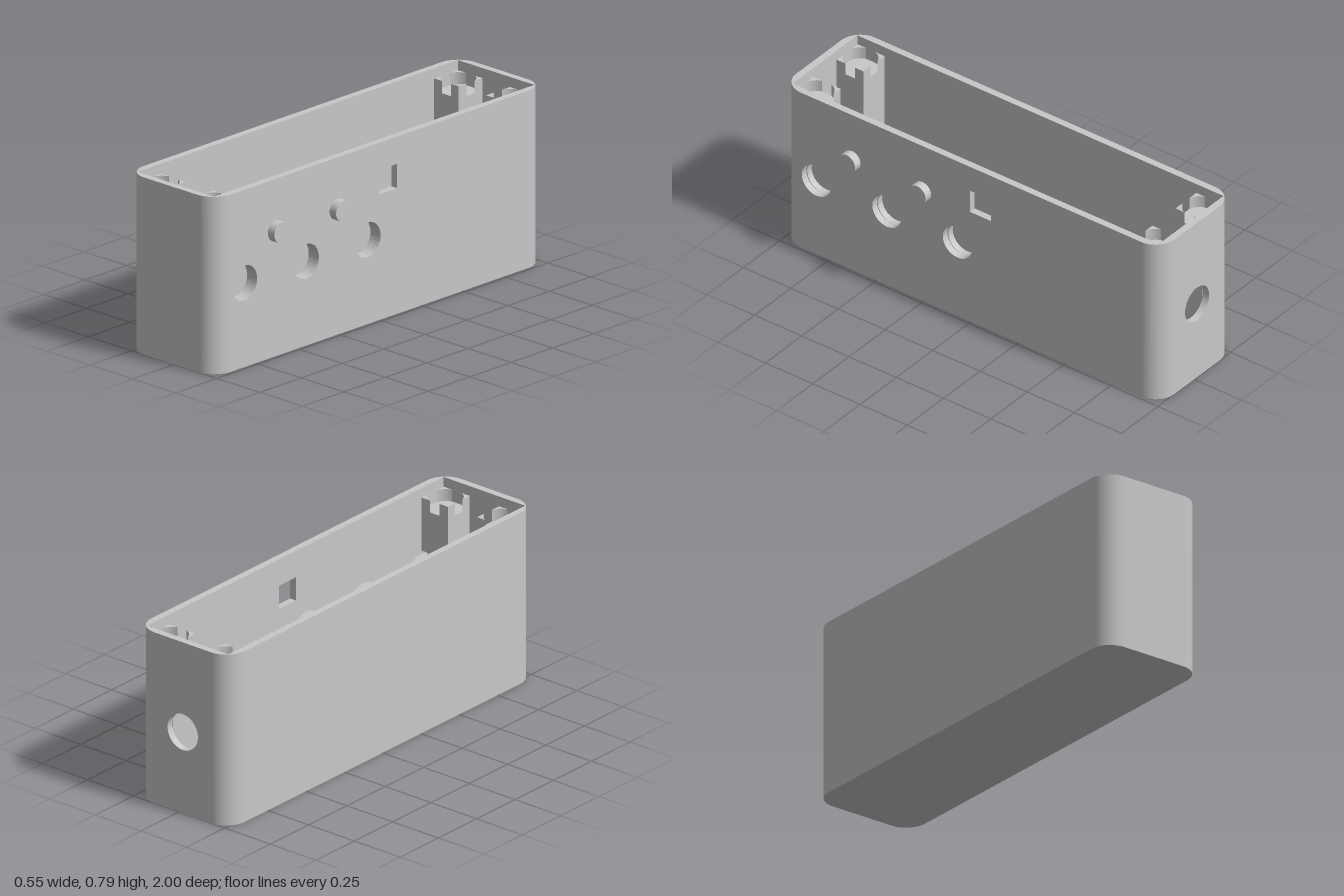
import * as THREE from 'three';
import { toCreasedNormals } from 'three/addons/utils/BufferGeometryUtils.js';

const X0 = -0.275, X1 = 0.235, CX = -0.02, H = 0.79; // outer shell limits
const T = 0.032, R = 0.1;                            // wall thickness, corner radius
const IX0 = X0 + T, IX1 = X1 - T, IZ = 1 - T;        // inner limits

export function createModel() {
  const model = new THREE.Group();
  const grey = new THREE.MeshStandardMaterial({ color: 0xc8c8c8 });
  grey.name = 'grey plastic';

  const add = (name, geo, x = 0, y = 0, z = 0, parent = model) => {
    const mesh = new THREE.Mesh(geo, grey);
    mesh.name = name;
    mesh.position.set(x, y, z);
    parent.add(mesh);
    return mesh;
  };
  const extrude = (shape, depth) => toCreasedNormals(
    new THREE.ExtrudeGeometry(shape, { depth, bevelEnabled: false, curveSegments: 32 }), 0.6);
  const upright = (shape, h) => extrude(shape, h).rotateX(-Math.PI / 2);     // shape lies flat, grows up
  const sideways = (shape, d) => extrude(shape, d).rotateY(-Math.PI / 2);    // shape x becomes z, grows to -x
  const box = (name, x0, x1, y0, y1, z0, z1, parent) =>
    add(name, new THREE.BoxGeometry(x1 - x0, y1 - y0, z1 - z0),
      (x0 + x1) / 2, (y0 + y1) / 2, (z0 + z1) / 2, parent);
  const rect = (x0, x1, y0, y1, Kind = THREE.Shape) => new Kind([
    [x0, y0], [x1, y0], [x1, y1], [x0, y1]].map(p => new THREE.Vector2(...p)));
  const circle = (x, y, r, Kind = THREE.Path) => new Kind().absarc(x, y, r, 0, Math.PI * 2);

  // Floor with rounded corners
  const w = (X1 - X0) / 2 - R, l = 1 - R;
  const plan = new THREE.Shape();
  [[w, l], [-w, l], [-w, -l], [w, -l]].forEach(([x, y], i) =>
    plan.absarc(x, y, R, i * Math.PI / 2, (i + 1) * Math.PI / 2));
  add('floor', upright(plan, T), CX, 0, 0);

  // Corners: round outside, square inside
  const corner = new THREE.Shape();
  corner.moveTo(R, 0);
  corner.absarc(0, 0, R, 0, Math.PI / 2);
  corner.lineTo(0, R - T);
  corner.lineTo(R - T, R - T);
  corner.lineTo(R - T, 0);
  const cornerGeo = upright(corner, H - T);
  [[w, -l], [-w, -l], [-w, l], [w, l]].forEach(([x, z], i) => {
    add('cornerWall', cornerGeo, CX + x, T, z).rotation.y = i * Math.PI / 2;
  });

  // Plain walls
  box('rightWall', X0, IX0, T, H, -l, l);
  box('frontWall', CX - w, CX + w, T, H, IZ, 1);

  // Back wall with a round opening
  const back = rect(CX - w, CX + w, T, H);
  back.holes.push(circle(CX, 0.375, 0.083));
  add('backWall', extrude(back, T), 0, 0, -1);

  // Control wall with knob holes and a square switch opening
  const knobZ = [0.818, 0.445, 0.072], knobY = 0.375, knobR = 0.077;
  const panel = rect(-l, l, T, H);
  knobZ.forEach(z => panel.holes.push(circle(z, knobY, knobR)));
  panel.holes.push(rect(-0.105, 0.005, 0.56, 0.668, THREE.Path));
  add('controlWall', sideways(panel, T), X1, 0, 0);

  // Blind bosses behind the knob holes
  const pocketX = 0.172, bossX = 0.13;
  const ring = circle(0, 0, 0.111, THREE.Shape);
  ring.holes.push(circle(0, 0, knobR));
  const ringGeo = sideways(ring, IX1 - pocketX);
  const capGeo = new THREE.CylinderGeometry(0.111, 0.111, pocketX - bossX, 48).rotateZ(Math.PI / 2);
  knobZ.forEach(z => {
    add('bossRing', ringGeo, IX1, knobY, z - 0.004);
    add('bossCap', capGeo, (pocketX + bossX) / 2, knobY, z - 0.004);
  });

  // Push buttons
  const buttonGeo = new THREE.CylinderGeometry(0.046, 0.046, 0.06, 40).rotateZ(Math.PI / 2);
  [0.63, 0.257].forEach(z => add('button', buttonGeo, 0.243, 0.56, z));

  // Corner posts with a round pocket that breaks through the four sides
  const h = 0.0715, k = 0.025, seat = 0.69, top = 0.745;
  const prong = new THREE.Shape();
  prong.moveTo(h, k);
  prong.lineTo(h, h);
  prong.lineTo(k, h);
  prong.absarc(0, 0, Math.hypot(h, k), Math.atan2(h, k), Math.atan2(k, h), true);
  const prongGeo = upright(prong, top - seat);
  for (const x of [IX0 + h, IX1 - h]) for (const z of [-IZ + h, IZ - h]) {
    const post = new THREE.Group();
    post.name = 'cornerPost';
    model.add(post);
    // the post beside the first knob is relieved around its pocket
    const relieved = x > 0 && z > 0;
    box('postShaft', x - h, relieved ? pocketX : x + h, T, 0.5, z - h, z + h, post);
    box('postHead', x - h, x + h, 0.5, seat, z - h, z + h, post);
    for (let i = 0; i < 4; i++) add('postProng', prongGeo, x, seat, z, post).rotation.y = i * Math.PI / 2;
  }

  // Low dividers across the floor
  [-0.565, 0.413].forEach(z => box('divider', IX0, z > 0 ? pocketX : IX1, T, 0.33, z - 0.012, z + 0.012));

  return model;
}
